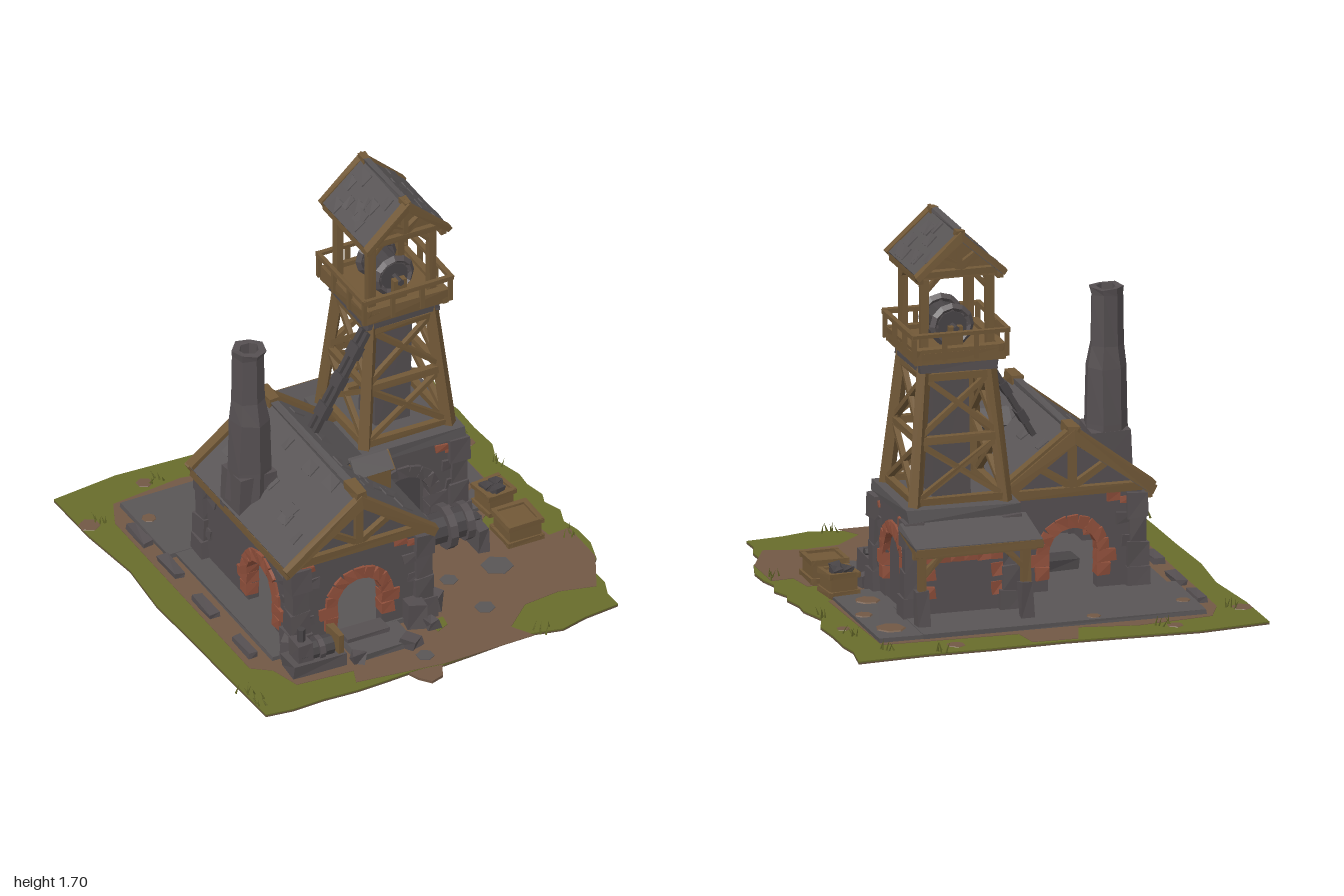
import * as THREE from 'three';

const mat = (name, color) => Object.assign(new THREE.MeshStandardMaterial({ color }), { name });
const M = {
  stone: mat('stone', 0x554f51), slate: mat('slate', 0x595556), metal: mat('dark metal', 0x484446),
  wood: mat('wood', 0x715837), brick: mat('brick', 0x8f4f3b), grass: mat('grass', 0x686c2b),
  dirt: mat('dirt', 0x715845), earth: mat('earth', 0x64523f), shade: mat('shade', 0x2c2727),
};
const V = (x, y, z) => new THREE.Vector3(x, y, z);
let seed = 7;
const rnd = () => (seed = (seed * 16807) % 2147483647) / 2147483647;

// Shift shared corners alike, then facet the surface
function rough(geo, amt = 0) {
  const g = geo.index ? geo.toNonIndexed() : geo, p = g.attributes.position, k = rnd() * 50, moved = new Map();
  for (let i = 0; i < p.count; i++) {
    const c = [p.getX(i), p.getY(i), p.getZ(i)], id = c.map(v => Math.round(v * 1e4)).join();
    if (!moved.has(id)) moved.set(id, c.map((v, j) => v + amt * Math.sin(k + v * 91 + c[(j + 1) % 3] * 57 + c[(j + 2) % 3] * 33 + j * 2)));
    p.setXYZ(i, ...moved.get(id));
  }
  g.computeVertexNormals();
  return g;
}
function add(parent, name, geo, m, x = 0, y = 0, z = 0, rx = 0, ry = 0, rz = 0) {
  const o = new THREE.Mesh(geo, m);
  o.name = name; o.position.set(x, y, z); o.rotation.set(rx, ry, rz);
  parent.add(o);
  return o;
}
const box = (p, name, m, w, h, d, x, y, z, amt = 0, ry = 0, rz = 0) =>
  add(p, name, rough(new THREE.BoxGeometry(w, h, d), amt), m, x, y, z, 0, ry, rz);
// Square timber between two points of its parent
function beam(p, name, m, a, b, w) {
  const o = box(p, name, m, w, w, a.distanceTo(b), ...a.clone().lerp(b, 0.5).toArray(), 0.002);
  o.quaternion.setFromRotationMatrix(new THREE.Matrix4().lookAt(b, a, V(0, 1, 0)));
}
const cyl = (p, name, m, r0, r1, h, n, x, y, z, rx = 0, rz = 0) =>
  add(p, name, rough(new THREE.CylinderGeometry(r0, r1, h, n)), m, x, y, z, rx, 0, rz);
function group(p, name, x = 0, y = 0, z = 0, ry = 0) {
  const g = new THREE.Group();
  g.name = name; g.position.set(x, y, z); g.rotation.y = ry;
  p.add(g);
  return g;
}
const shape = pts => new THREE.Shape(pts.map(q => new THREE.Vector2(...q)));
const extrude = (s, depth) => new THREE.ExtrudeGeometry(s, { depth, bevelEnabled: false, curveSegments: 10 });

// Wall with an arched opening and a surround; its outer face is local z = 0
function archWall(parent, name, w, h, x, z, ry, cx, r, cy, trim = M.brick) {
  const g = group(parent, name, x, 0, z, ry);
  const s = shape([[-w / 2, 0], [cx - r, 0], [cx - r, cy]]);
  s.absarc(cx, cy, r, Math.PI, 0, true);
  [[cx + r, 0], [w / 2, 0], [w / 2, h], [-w / 2, h]].forEach(q => s.lineTo(...q));
  add(g, 'wall', extrude(s, 0.05), M.stone, 0, 0, -0.05);
  for (let i = 0; i < 9; i++) {
    const a = (i + 0.5) * Math.PI / 9;
    box(g, 'archBlock', trim, 0.055, (r + 0.03) * 0.345, 0.06, cx + Math.cos(a) * (r + 0.025), cy + Math.sin(a) * (r + 0.025), -0.018, 0.003, 0, a);
  }
  for (const e of [-1, 1]) for (let i = 0; i < 2; i++) {
    const bw = i ? 0.06 : 0.085;
    box(g, 'jambBlock', trim, bw, 0.055, 0.06, cx + e * (r + bw / 2 - 0.003), cy - 0.03 - i * 0.058 + 0.004, -0.018, 0.003);
  }
  // Worn bricks and raised stones
  for (const [u, v] of [[-0.4, 0.92], [0.3, 0.93], [0.4, 0.89]]) box(g, 'wornBrick', M.brick, 0.06, 0.035, 0.012, u * w, v * h, 0.002, 0.004);
  for (const [u, v] of [[-0.38, 0.75], [0.38, 0.72], [0.42, 0.5], [-0.42, 0.35]]) box(g, 'raisedStone', M.stone, 0.08, 0.045, 0.012, u * w, v * h, 0.003, 0.005);
}
function corner(p, x, z, h) {
  for (let i = 0; i < 4; i++) {
    const w = 0.075 + (i % 2) * 0.015 + (i ? 0 : 0.03);
    box(p, 'cornerStone', M.stone, w, h / 4, w, x, (i + 0.5) * h / 4 + 0.008, z, 0.005);
  }
}
// Pitched roof with ridge along z, shingles, bargeboards and closed gables
function pitchedRoof(parent, name, half, rise, len, x, y, z, board, fill) {
  const g = group(parent, name, x, y, z), t = board * 0.9;
  const chev = (o, th) => shape([[-half - o, 0], [0, rise + o], [half + o, 0], [half + o - th * 0.4, -th * 0.7], [0, rise + o - th * 1.25], [-half - o + th * 0.4, -th * 0.7]]);
  add(g, 'slateSlab', extrude(chev(0, t), len), M.slate, 0, 0, -len / 2);
  const ang = Math.atan2(rise, half), run = Math.hypot(half, rise);
  for (const s of [-1, 1]) {
    for (let i = 0; i < 10; i++) {
      const d = run * (0.12 + 0.76 * rnd());
      box(g, 'shingle', M.slate, 0.06, 0.007, 0.03 + 0.06 * rnd(), s * d * Math.cos(ang), rise - d * Math.sin(ang) + 0.002, (rnd() - 0.5) * len * 0.78, 0.002, 0, -s * ang);
    }
    add(g, 'bargeboard', rough(extrude(chev(0.008, board), 0.035), 0.003), M.wood, 0, 0, s * (len / 2 - 0.005) - 0.0175);
    add(g, 'gable', extrude(shape([[-half * 0.86, 0], [half * 0.86, 0], [0, rise * 0.88]]), 0.02), fill, 0, 0, s * (len / 2 - 0.05) - 0.01);
    box(g, 'ridgeEnd', M.wood, board, board * 1.1, len * 0.13, 0, rise - 0.008, s * len * 0.44, 0.003);
    box(g, 'tieBeam', M.wood, half * 1.8, board * 0.8, 0.035, 0, 0, s * (len / 2 - 0.03), 0.002);
    box(g, 'kingPost', M.wood, board * 0.7, rise, 0.03, 0, rise / 2, s * (len / 2 - 0.03));
    for (const e of [-1, 1]) beam(g, 'gableStrut', M.wood, V(0, 0.02, s * (len / 2 - 0.032)), V(e * half * 0.48, rise * 0.48, s * (len / 2 - 0.032)), 0.03);
    box(g, 'eaveBeam', M.wood, 0.025, 0.035, len - 0.02, s * (half - 0.018), -t * 0.75, 0, 0.002);
  }
  box(g, 'ridgeCap', M.slate, 0.03, 0.02, len - 0.1, 0, rise, 0, 0.004);
}

function buildGround(root) {
  const g = group(root, 'ground');
  const slab = (name, m, y, h, pts) => add(g, name, extrude(shape(pts.map(([x, z]) => [x, -z])), h), m, 0, y, 0, -Math.PI / 2);
  const corners = [[-0.92, -0.96], [0.87, -0.97], [0.86, -0.2], [0.91, 0.3], [0.78, 0.88], [-0.05, 0.91], [-0.92, 0.9]], edge = [];
  corners.forEach(([x, z], i) => {
    const [u, v] = corners[(i + 1) % 7];
    for (let k = 0; k < 6; k++) edge.push([x + (u - x) * k / 6 + (rnd() - 0.5) * 0.05, z + (v - z) * k / 6 + (rnd() - 0.5) * 0.05]);
  });
  slab('earthBase', M.earth, 0, 0.007, edge);
  slab('grassTop', M.grass, 0.007, 0.006, edge);
  slab('dirtYard', M.dirt, 0.012, 0.003, [[-0.8, -0.66], [-0.74, -0.79], [-0.4, -0.83], [-0.15, -0.78], [-0.1, -0.94], [0.1, -0.93], [0.12, -0.8], [0.72, -0.78], [0.74, -0.1], [0.56, 0.06], [0.56, 0.12], [0.76, 0.14], [0.78, 0.27], [0.88, 0.26],
    [0.88, 0.5], [0.78, 0.7], [0.62, 0.66], [0.45, 0.68], [0.32, 0.8], [0.38, 0.9], [-0.05, 0.91], [-0.45, 0.86], [-0.42, 0.78], [-0.68, 0.76], [-0.72, 0.62], [-0.8, 0.56]]);
  slab('dirtClod', M.dirt, 0, 0.012, [[-0.22, 0.9], [-0.06, 0.9], [-0.1, 0.98], [-0.16, 1], [-0.2, 0.95]]);
  slab('frontGrassPatch', M.grass, 0.013, 0.004, [[0.02, 0.61], [0.1, 0.6], [0.09, 0.66], [0.03, 0.69]]);
  for (const [x, z, r] of [[-0.9, -0.7, 0.045], [0.42, -0.87, 0.04], [-0.55, -0.87, 0.035], [0.8, -0.5, 0.03]])
    cyl(g, 'bareSpot', M.dirt, r, r * 1.1, 0.004, 6, x, 0.013, z);
  for (const [x, z, r] of [[0.48, 0.37, 0.07], [0.29, 0.62, 0.045], [-0.1, 0.82, 0.04], [0.25, 0.37, 0.04]])
    cyl(g, 'flatStone', M.slate, r, r, 0.005, 6, x, 0.015, z);
  for (const [x, z] of [[-0.9, 0.72], [-0.88, 0.8], [-0.5, -0.86], [0.5, -0.94], [0.83, -0.3], [0.85, 0.3], [0.43, 0.88], [0.8, -0.6], [-0.86, -0.7], [0.72, -0.85]])
    for (let i = 0; i < 5; i++) add(g, 'grassBlade', new THREE.ConeGeometry(0.006, 0.05, 3), M.grass, x + (rnd() - 0.5) * 0.06, 0.03, z + (rnd() - 0.5) * 0.06, rnd() - 0.5, 0, rnd() - 0.5);
  // Paving, kerb and dirt blown over it
  box(g, 'backPaving', M.slate, 1.25, 0.024, 0.44, -0.1, 0.023, -0.54, 0.003);
  box(g, 'sidePaving', M.slate, 0.22, 0.022, 0.72, 0.61, 0.021, -0.39, 0.003);
  box(g, 'housePlinth', M.slate, 0.74, 0.024, 0.88, -0.32, 0.023, 0.12, 0.003);
  for (const [x, z] of [[-0.755, -0.52], [-0.75, -0.25], [-0.755, 0.08], [-0.75, 0.42]]) box(g, 'kerbStone', M.stone, 0.045, 0.03, 0.16, x, 0.024, z, 0.004);
  for (const [x, z, r] of [[0.63, -0.62, 0.06], [0.6, -0.2, 0.05], [0.68, -0.4, 0.035], [-0.24, -0.71, 0.03], [-0.67, -0.6, 0.03]])
    cyl(g, 'paveDirt', M.dirt, r, r * 1.1, 0.005, 7, x, 0.036, z);
}

function buildHouse(root) {
  const g = group(root, 'engineHouse');
  archWall(g, 'frontWall', 0.63, 0.46, -0.265, 0.55, 0, -0.01, 0.108, 0.2);
  archWall(g, 'backWall', 0.63, 0.46, -0.265, -0.3, Math.PI, 0.01, 0.108, 0.2);
  archWall(g, 'leftWall', 0.85, 0.46, 0.05, 0.125, Math.PI / 2, -0.125, 0.12, 0.17);
  archWall(g, 'rightWall', 0.85, 0.46, -0.58, 0.125, -Math.PI / 2, 0.125, 0.12, 0.17);
  for (const x of [-0.56, 0.03]) for (const z of [-0.28, 0.53]) corner(g, x, z, 0.43);
  box(g, 'ceiling', M.shade, 0.56, 0.02, 0.78, -0.265, 0.44, 0.125);
  box(g, 'workbench', M.metal, 0.16, 0.05, 0.12, -0.27, 0.1, -0.1, 0.005);
  pitchedRoof(g, 'houseRoof', 0.355, 0.27, 0.9, -0.275, 0.465, 0.125, 0.05, M.stone);
  for (const s of [-1, 1]) beam(g, 'roofRib', M.wood, V(-0.275, 0.725, -0.3), V(-0.275 + s * 0.35, 0.46, -0.3), 0.05);
  // Small dormer
  const d = group(g, 'dormer', -0.06, 0.52, 0.25, Math.PI / 2);
  add(d, 'dormerBody', extrude(shape([[-0.05, 0], [0.05, 0], [0.05, 0.1], [0, 0.15], [-0.05, 0.1]]), 0.16), M.wood, 0, 0, -0.09);
  add(d, 'dormerWindow', extrude(shape([[-0.03, 0.03], [0.03, 0.03], [0.03, 0.09], [0, 0.12], [-0.03, 0.09]]), 0.004), M.metal, 0, 0, 0.07);
  for (const s of [-1, 1]) {
    box(d, 'dormerRoof', M.slate, 0.09, 0.018, 0.18, s * 0.033, 0.135, -0.015, 0.003, 0, -s * 0.78);
    beam(d, 'dormerBarge', M.wood, V(0, 0.155, 0.076), V(s * 0.06, 0.095, 0.076), 0.018);
    box(d, 'windowBar', M.wood, 0.008, 0.075, 0.006, 0, 0.07, 0.076, 0, 0, s * 0.7);
  }
  // Chimney
  box(g, 'chimneyBase', M.stone, 0.18, 0.2, 0.18, -0.53, 0.54, 0.04, 0.008);
  const prof = [[0.1, 0.5], [0.095, 0.66], [0.088, 0.9], [0.074, 1.0], [0.07, 1.22], [0.074, 1.25], [0.046, 1.25], [0.04, 1.15], [0.001, 1.15]];
  add(g, 'chimney', rough(new THREE.LatheGeometry(prof.map(q => new THREE.Vector2(...q)), 7), 0.004), M.stone, -0.53, 0, 0.04);
}

function buildTower(root) {
  const g = group(root, 'headTower', 0.265, 0, -0.24);
  // Masonry base
  archWall(g, 'baseFront', 0.48, 0.45, 0, 0.24, 0, -0.04, 0.125, 0.2, M.stone);
  archWall(g, 'baseLeft', 0.48, 0.45, 0.24, 0, Math.PI / 2, 0.03, 0.12, 0.22);
  box(g, 'baseCore', M.stone, 0.44, 0.44, 0.38, 0, 0.23, -0.05);
  box(g, 'doorShade', M.metal, 0.26, 0.32, 0.008, -0.04, 0.18, 0.143);
  for (const x of [-0.21, 0.22]) for (const z of [-0.22, 0.22]) corner(g, x, z, 0.44);
  for (let i = 0; i < 6; i++) box(g, 'lintelBrick', M.brick, 0.058, 0.06, 0.03, -0.15 + i * 0.06, 0.29, -0.24, 0.004);
  for (const e of [-1, 1]) for (const y of [0.13, 0.21]) box(g, 'backBrick', M.brick, 0.05, 0.055, 0.03, e * 0.15, y, -0.236, 0.004);
  box(g, 'baseCap', M.slate, 0.5, 0.05, 0.51, 0, 0.475, 0, 0.005);
  box(g, 'shaft', M.stone, 0.16, 0.58, 0.16, 0, 0.76, 0, 0.008);
  // Four identical timber sides
  const h = y => 0.2 - (y - 0.5) * 0.095;
  for (let i = 0; i < 4; i++) {
    const s = group(g, 'timberSide', 0, 0, 0, i * Math.PI / 2);
    const at = (e, y) => V(e * h(y), y, h(y));
    beam(s, 'leg', M.wood, at(-1, 0.49), at(-1, 1.12), 0.045);
    for (const y of [0.52, 0.78, 1.05]) beam(s, 'crossRail', M.wood, at(-1, y), at(1, y), 0.03);
    for (const [a, b] of [[0.52, 0.77], [0.8, 1.05]]) for (const e of [-1, 1]) beam(s, 'brace', M.wood, at(e, a), at(-e, b), 0.024);
    box(s, 'deckEdge', M.wood, 0.4, 0.065, 0.03, 0, 1.155, 0.185, 0.003);
    box(s, 'deckBracket', M.stone, 0.34, 0.05, 0.03, 0, 1.1, 0.16, 0.004);
    for (const x of [-0.205, -0.07, 0.07]) box(s, 'railPost', M.wood, 0.018, 0.12, 0.018, x, 1.195, 0.205);
    box(s, 'handrail', M.wood, 0.43, 0.018, 0.02, 0, 1.25, 0.207, 0.002);
    box(s, 'roofPost', M.wood, 0.035, 0.36, 0.035, -0.145, 1.34, 0.145, 0.002);
    box(s, 'topPlate', M.wood, 0.34, 0.035, 0.035, 0, 1.5, 0.145, 0.002);
    for (const e of [-1, 1]) beam(s, 'kneeBrace', M.wood, V(e * 0.145, 1.42, 0.145), V(e * 0.08, 1.49, 0.145), 0.022);
  }
  box(g, 'deck', M.wood, 0.4, 0.03, 0.4, 0, 1.155, 0);
  pitchedRoof(g, 'towerRoof', 0.195, 0.175, 0.42, 0, 1.515, 0, 0.032, M.wood);
  // Winding wheel
  const w = group(g, 'windingWheel', 0, 1.25, 0);
  cyl(w, 'drum', M.metal, 0.065, 0.065, 0.18, 10, 0, 0, 0, Math.PI / 2);
  cyl(w, 'axle', M.metal, 0.015, 0.015, 0.3, 6, 0, 0, 0, Math.PI / 2);
  for (const z of [-0.08, 0.08]) {
    add(w, 'rim', rough(new THREE.TorusGeometry(0.08, 0.018, 4, 12)), M.stone, 0, 0, z);
    for (let i = 0; i < 4; i++) box(w, 'spoke', M.stone, 0.16, 0.014, 0.018, 0, 0, z, 0, 0, i * Math.PI / 4);
    box(w, 'bearing', M.wood, 0.06, 0.1, 0.03, 0, -0.04, z * 1.6);
  }
  // Hoist arm running down to the house roof
  for (const z of [0.165, 0.205]) beam(g, 'hoistArm', M.metal, V(-0.19, 1.09, z), V(-0.44, 0.66, z), 0.022);
  for (const t of [0.2, 0.5, 0.8]) box(g, 'armClamp', M.metal, 0.035, 0.06, 0.07, -0.19 - 0.25 * t, 1.09 - 0.43 * t, 0.185, 0, 0, -0.53);
  // Porch at the back
  const p = group(g, 'porch', 0, 0, -0.36);
  add(p, 'porchRoof', rough(new THREE.BoxGeometry(0.56, 0.03, 0.26), 0.005), M.slate, 0, 0.41, 0.01, -0.18);
  box(p, 'porchEave', M.wood, 0.56, 0.03, 0.02, 0, 0.38, -0.118, 0.002);
  box(p, 'porchBeam', M.wood, 0.54, 0.04, 0.03, 0, 0.35, -0.03, 0.002);
  for (const e of [-1, 1]) {
    box(p, 'porchPost', M.wood, 0.035, 0.32, 0.035, e * 0.23, 0.19, -0.03, 0.002);
    box(p, 'postFoot', M.stone, 0.055, 0.16, 0.055, e * 0.23, 0.11, -0.03, 0.006);
    beam(p, 'porchRafter', M.wood, V(e * 0.265, 0.415, 0.12), V(e * 0.265, 0.37, -0.11), 0.03);
    beam(p, 'porchBrace', M.wood, V(e * 0.23, 0.25, -0.03), V(e * 0.13, 0.35, -0.03), 0.024);
  }
}

function buildYard(root) {
  // Winch in front of the tower
  const w = group(root, 'winch', 0.28, 0.135, 0.16);
  cyl(w, 'winchDrum', M.metal, 0.07, 0.07, 0.32, 10, 0, 0, 0, 0, Math.PI / 2);
  for (const [x, r] of [[-0.17, 0.095], [-0.05, 0.09], [0.06, 0.1], [0.15, 0.085]]) cyl(w, 'winchFlange', M.stone, r, r, 0.035, 12, x, 0, 0, 0, Math.PI / 2);
  cyl(w, 'winchAxle', M.metal, 0.02, 0.02, 0.44, 6, 0, 0, 0, 0, Math.PI / 2);
  for (const x of [-0.11, 0.2]) box(w, 'winchStand', M.stone, 0.05, 0.11, 0.2, x, -0.065, 0, 0.005);
  // Crates
  for (const [x, z, s, ry] of [[0.66, 0.21, 0.15, 0], [0.67, -0.02, 0.12, 0.1]]) {
    const c = group(root, 'crate', x, 0.015, z, ry);
    box(c, 'crateBody', M.wood, s, 0.1, s, 0, 0.05, 0);
    for (const e of [-1, 1]) for (const y of [0.02, 0.1]) {
      box(c, 'crateSlat', M.wood, s + 0.02, 0.022, 0.02, 0, y, e * s / 2, 0.002);
      box(c, 'crateSlat', M.wood, 0.02, 0.022, s + 0.02, e * s / 2, y, 0, 0.002);
    }
  }
  for (const [x, z] of [[0.64, -0.03], [0.69, -0.04], [0.67, 0.01]]) box(root, 'crateOre', M.metal, 0.05, 0.04, 0.05, x, 0.12, z, 0.009);
  // Small engine by the front door
  const e = group(root, 'smallEngine', -0.55, 0, 0.665);
  box(e, 'engineBed', M.stone, 0.25, 0.06, 0.12, 0, 0.045, 0, 0.005);
  cyl(e, 'engineTank', M.metal, 0.045, 0.045, 0.16, 9, 0, 0.1, 0, 0, Math.PI / 2);
  box(e, 'engineBlock', M.stone, 0.07, 0.1, 0.09, -0.06, 0.11, 0, 0.004);
  cyl(e, 'enginePipe', M.metal, 0.018, 0.018, 0.08, 6, -0.06, 0.18, 0);
  cyl(e, 'flywheel', M.stone, 0.055, 0.055, 0.025, 10, 0.02, 0.1, 0, 0, Math.PI / 2);
  box(e, 'engineEndBoard', M.wood, 0.03, 0.12, 0.1, 0.105, 0.1, 0, 0.004);
  // Entrance ramp and loose stones
  box(root, 'frontRamp', M.slate, 0.27, 0.03, 0.17, -0.24, 0.028, 0.65, 0.005);
  box(root, 'frontStep', M.stone, 0.2, 0.03, 0.08, -0.27, 0.05, 0.59, 0.004);
  for (const [x, z, s, h] of [[-0.03, 0.59, 0.08, 0.12], [-0.12, 0.73, 0.07, 0.05], [-0.37, 0.73, 0.05, 0.05], [0.1, 0.37, 0.055, 0.07], [0.1, 0.52, 0.06, 0.08], [-0.62, 0.57, 0.06, 0.1], [0.53, 0.06, 0.05, 0.06], [0.02, 0.65, 0.05, 0.05]])
    box(root, 'looseStone', M.stone, s, h, s, x, h / 2 + 0.012, z, 0.009, x * 9);
}

export function createModel() {
  seed = 7;
  const root = new THREE.Group();
  root.name = 'mineBuilding';
  [buildGround, buildHouse, buildTower, buildYard].forEach(f => f(root));
  return root;
}
